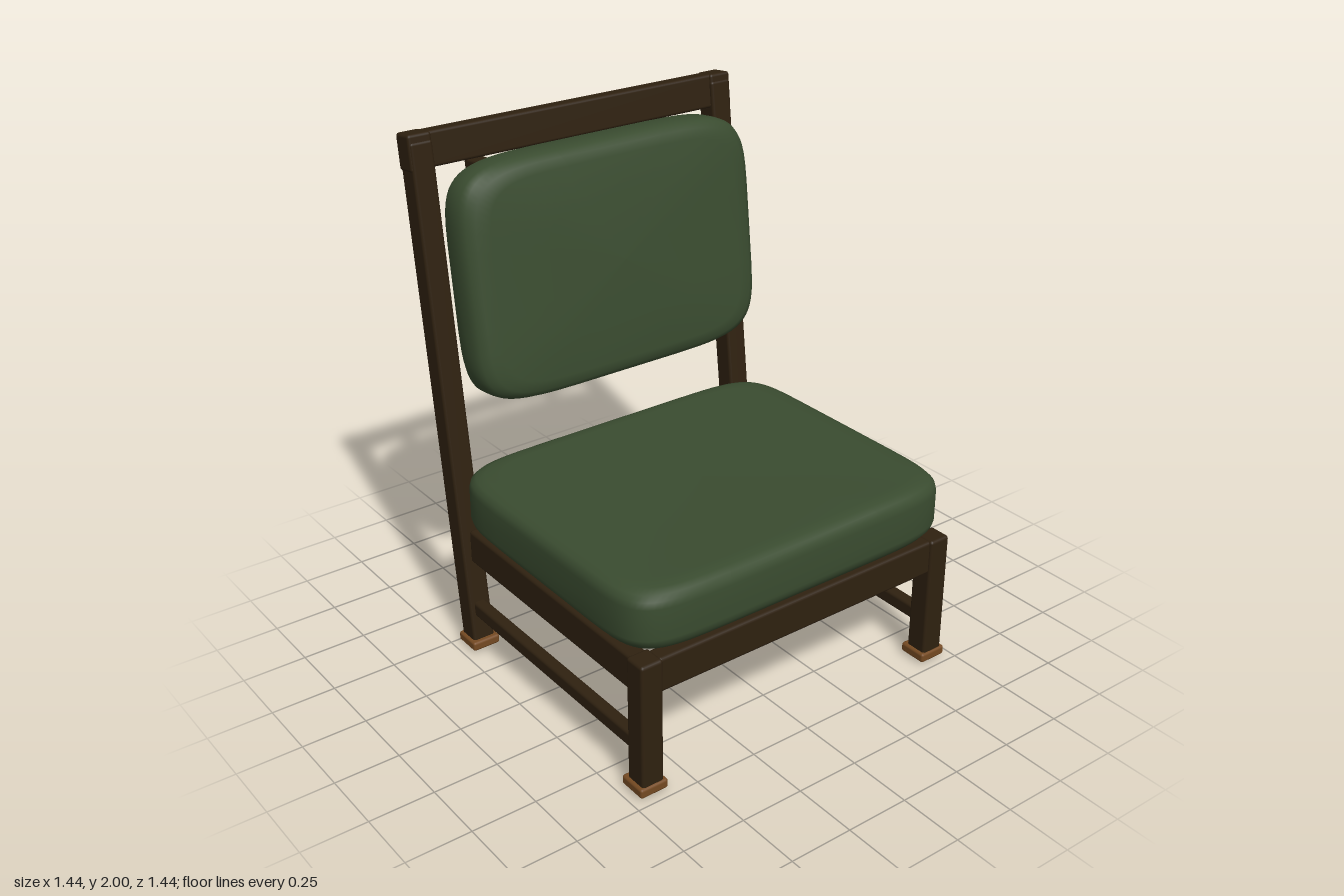
import * as THREE from 'three';
import { RoundedBoxGeometry } from 'three/addons/geometries/RoundedBoxGeometry.js';

const LEAN = 0.118; // backward tilt of the backrest

export function createModel() {
  const model = new THREE.Group();
  model.name = 'lowChair';

  const material = (name, color) => {
    const m = new THREE.MeshStandardMaterial({ color });
    m.name = name;
    return m;
  };
  const wood = material('darkWood', 0x2f2110);
  const fabric = material('greenFabric', 0x3a4c30);
  const footWood = material('lightWood', 0x754a22);

  const add = (name, geometry, mat, x, y, z, tilt = 0) => {
    const mesh = new THREE.Mesh(geometry, mat);
    mesh.name = name;
    mesh.position.set(x, y, z);
    mesh.rotation.x = tilt;
    model.add(mesh);
    return mesh;
  };
  const beam = (w, h, d, r = 0.012) => new RoundedBoxGeometry(w, h, d, 2, r);

  // Centre line of the leaning rear posts at a given height
  const postZ = (y) => -0.433 - Math.tan(LEAN) * y;

  // Legs, feet and side rails, mirrored left and right
  for (const [side, s] of [['left', 1], ['right', -1]]) {
    const x = s * 0.66;
    add(side + 'FrontLeg', beam(0.09, 0.5, 0.09), wood, x, 0.285, 0.668);
    add(side + 'BackPost', beam(0.09, 1.95, 0.09), wood, x, 1.0, postZ(1.0), -LEAN);
    for (const [end, z] of [['Front', 0.663], ['Back', -0.433]]) {
      add(side + end + 'Foot', beam(0.115, 0.038, 0.115, 0.01), footWood, x, 0.027, z);
      add(side + end + 'FootPad', new THREE.BoxGeometry(0.06, 0.012, 0.06), wood, x, 0.006, z);
    }
    add(side + 'SeatRail', beam(0.07, 0.135, 1.04), wood, x, 0.465, 0.12);
    add(side + 'Stretcher', beam(0.05, 0.06, 1.08), wood, x, 0.173, 0.1);

    // Caps where the top rail meets the posts
    add(side + 'TopCap', beam(0.094, 0.135, 0.092), wood, s * 0.662, 1.928, postZ(1.928) - 0.005, -LEAN);

    // Hooks holding the back cushion to the top rail
    add(side + 'CushionHook', beam(0.07, 0.11, 0.03, 0.01), wood, s * 0.41, 1.86, -0.703, -LEAN);
    add(side + 'HookArm', beam(0.07, 0.035, 0.1, 0.01), wood, s * 0.41, 1.835, -0.665, -LEAN);
  }

  // Cross rails
  add('frontRail', beam(1.25, 0.135, 0.07), wood, 0, 0.465, 0.668);
  add('backRail', beam(1.25, 0.135, 0.07), wood, 0, 0.465, -0.44, -LEAN);
  add('topRail', beam(1.3, 0.13, 0.072), wood, 0, 1.93, postZ(1.93) - 0.005, -LEAN);

  // Seat cushion, slightly dished on top
  add('seatCushion', cushionGeometry(0.72, 0.595, 8, [
    [0, 0], [0.5, 0], [0.88, 0], [0.93, 0.003], [0.965, 0.014], [0.992, 0.038], [1, 0.06],
    [1, 0.12], [1, 0.18], [0.992, 0.205], [0.97, 0.222], [0.93, 0.233],
    [0.86, 0.237], [0.5, 0.229], [0, 0.224],
  ]), fabric, 0, 0.54, 0.125);

  // Back cushion, puffed toward the sitter
  add('backCushion', cushionGeometry(0.64, 0.452, 6, [
    [0, -0.108], [0.5, -0.108], [0.86, -0.104], [0.94, -0.096], [0.98, -0.075], [1, -0.045],
    [1, 0], [0.995, 0.035], [0.975, 0.062], [0.93, 0.082],
    [0.85, 0.092], [0.5, 0.104], [0, 0.11],
  ]), fabric, 0, 1.458, -0.45, Math.PI / 2 - LEAN);

  return model;
}

// Stack of rounded-square rings; each profile entry is [scale, height]
function cushionGeometry(halfX, halfZ, power, profile) {
  const segments = 64;
  const round = (v) => Math.sign(v) * Math.abs(v) ** (2 / power);
  const positions = [];
  const index = [];
  profile.forEach(([scale, y], j) => {
    for (let i = 0; i < segments; i++) {
      const t = ((i + 0.5) / segments) * Math.PI * 2;
      positions.push(halfX * scale * round(Math.cos(t)), y, halfZ * scale * round(Math.sin(t)));
      if (j === profile.length - 1) continue;
      const a = j * segments + i;
      const b = j * segments + ((i + 1) % segments);
      index.push(a, a + segments, b, b, a + segments, b + segments);
    }
  });
  const geometry = new THREE.BufferGeometry();
  geometry.setAttribute('position', new THREE.Float32BufferAttribute(positions, 3));
  geometry.setIndex(index);
  geometry.computeVertexNormals();
  return geometry;
}
